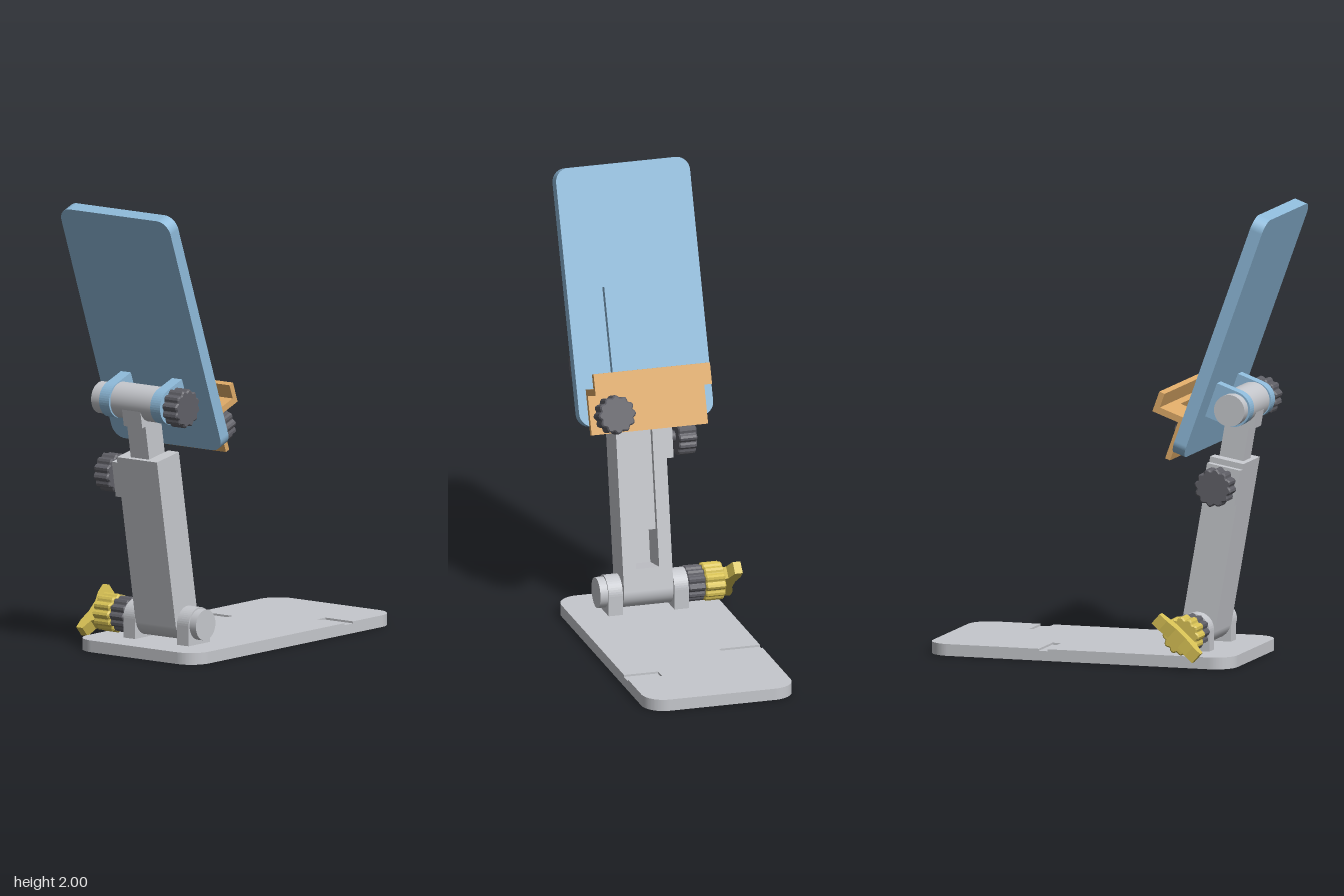
import * as THREE from 'three';

const mat = (name, color) => Object.assign(new THREE.MeshStandardMaterial({ color }), { name });
const grey = mat('light grey', 0xc6c8cd);
const blue = mat('sky blue', 0x8fbbdb);
const orange = mat('orange', 0xdfab68);
const yellow = mat('yellow', 0xd8c255);
const dark = mat('dark grey', 0x606067);

const ZC = 0.0375; // centre plane of the arm

function add(parent, name, geometry, material) {
  const m = new THREE.Mesh(geometry, material);
  m.name = name;
  parent.add(m);
  return m;
}

// box given by its limits
function box(x0, x1, y0, y1, z0, z1) {
  return new THREE.BoxGeometry(x1 - x0, y1 - y0, z1 - z0)
    .translate((x0 + x1) / 2, (y0 + y1) / 2, (z0 + z1) / 2);
}

// cylinder along z
function rod(x, y, r, z0, z1) {
  return new THREE.CylinderGeometry(r, r, z1 - z0, 40).rotateX(Math.PI / 2).translate(x, y, (z0 + z1) / 2);
}

const extrude = (shape, depth) =>
  new THREE.ExtrudeGeometry(shape, { depth, bevelEnabled: false, curveSegments: 12 });
// shape in (x, -z), raised from y0 to y1
const raise = (shape, y0, y1) => extrude(shape, y1 - y0).rotateX(-Math.PI / 2).translate(0, y0, 0);
// shape in (-z, y), spread from x0 to x1
const spread = (shape, x0, x1) => extrude(shape, x1 - x0).rotateY(Math.PI / 2).translate(x0, 0, 0);

const polygon = (pts) => new THREE.Shape(pts.map(([x, y]) => new THREE.Vector2(x, y)));

// rounded rectangle with optional notches [from, to, depth] in its low and high edges
function roundRect(x0, y0, x1, y1, r, low, high) {
  const s = new THREE.Shape();
  s.moveTo(x0 + r, y0);
  if (low) {
    const [a, b, d] = low;
    s.lineTo(a, y0).lineTo(a, y0 + d).lineTo(b, y0 + d).lineTo(b, y0);
  }
  s.lineTo(x1 - r, y0).absarc(x1 - r, y0 + r, r, -Math.PI / 2, 0);
  s.lineTo(x1, y1 - r).absarc(x1 - r, y1 - r, r, 0, Math.PI / 2);
  if (high) {
    const [a, b, d] = high;
    s.lineTo(b, y1).lineTo(b, y1 - d).lineTo(a, y1 - d).lineTo(a, y1);
  }
  s.lineTo(x0 + r, y1).absarc(x0 + r, y1 - r, r, Math.PI / 2, Math.PI);
  s.lineTo(x0, y0 + r).absarc(x0 + r, y0 + r, r, Math.PI, Math.PI * 1.5);
  return s;
}

// fluted grip knob along +z, starting at z = 0
function knobGeometry(depth, r = 0.085) {
  const pts = [];
  const n = 72;
  const bevel = 0.006;
  for (let i = 0; i < n; i++) {
    const a = (i / n) * Math.PI * 2;
    const rad = r - bevel - 0.011 * (0.5 - 0.5 * Math.cos(12 * a));
    pts.push([rad * Math.cos(a), rad * Math.sin(a)]);
  }
  return new THREE.ExtrudeGeometry(polygon(pts), {
    depth: depth - 2 * bevel, bevelEnabled: true, bevelSize: bevel, bevelThickness: bevel, bevelSegments: 1,
  }).translate(0, 0, bevel);
}

// upright lug with a round end, centred on the origin
function lug(r, length, z0, z1) {
  const s = new THREE.Shape();
  s.moveTo(-r, -length).lineTo(r, -length).lineTo(r, 0);
  s.absarc(0, 0, r, 0, Math.PI).lineTo(-r, -length);
  return extrude(s, z1 - z0).translate(0, 0, z0);
}

function buildBase() {
  const g = new THREE.Group();
  g.name = 'base';
  const rect = (low, high) => roundRect(-0.63, -0.375, 0.77, 0.305, 0.1, low, high);
  // underside with four round foot recesses
  const under = rect();
  for (const x of [-0.52, 0.66]) for (const y of [-0.265, 0.195]) {
    under.holes.push(new THREE.Path().absarc(x, y, 0.035, 0, Math.PI * 2, true));
  }
  add(g, 'baseUnderside', raise(under, 0, 0.01), grey);
  add(g, 'basePlate', raise(rect(), 0.01, 0.043), grey);
  // top skin with two shallow grooves
  add(g, 'baseTop', raise(rect([0.41, 0.47, 0.155], [0.21, 0.25, 0.185]), 0.043, 0.052), grey);

  // hinge lugs, end cap and clamp
  const hinge = new THREE.Group();
  hinge.name = 'baseHinge';
  hinge.position.set(-0.405, 0.14, 0);
  g.add(hinge);
  add(hinge, 'frontLug', lug(0.075, 0.09, 0.155, 0.22), grey);
  add(hinge, 'backLug', lug(0.075, 0.09, -0.145, -0.08), grey);
  add(hinge, 'hingeCap', rod(0, 0, 0.068, 0.22, 0.255), grey);
  add(hinge, 'hingePin', rod(0, 0, 0.03, -0.16, 0.23), grey);
  add(hinge, 'clampNut', knobGeometry(0.08, 0.08), dark).position.z = -0.225;
  add(hinge, 'clampGrip', knobGeometry(0.09), yellow).position.z = -0.315;
  // wing handle: bow-tie profile in (length, z)
  const wing = polygon([[-0.07, -0.3], [0.07, -0.3], [0.08, -0.325], [0.125, -0.345], [0.125, -0.38],
    [0.08, -0.38], [0.03, -0.366], [-0.03, -0.366], [-0.08, -0.38], [-0.125, -0.38], [-0.125, -0.345], [-0.08, -0.325]]);
  const wingGeo = extrude(wing, 0.056).translate(0, 0, -0.028).rotateX(Math.PI / 2);
  add(hinge, 'wingHandle', wingGeo, yellow).rotation.z = 0.73;
  return g;
}

function buildArm() {
  const g = new THREE.Group();
  g.name = 'arm';
  g.position.set(-0.405, 0.14, 0);
  g.rotation.z = THREE.MathUtils.degToRad(10);
  const w = 0.0775;
  // lower sleeve: barrel, solid foot, then a channel open towards +x
  add(g, 'lowerBarrel', rod(0, 0, w - 0.003, -0.075, 0.15), grey);
  add(g, 'sleeveFoot', box(-w, w, 0, 0.1, -0.075, 0.15), grey);
  const channel = polygon([[-w, -0.15], [w, -0.15], [w, -0.09], [-0.057, -0.09],
    [-0.057, 0.015], [w, 0.015], [w, 0.075], [-w, 0.075]]);
  add(g, 'sleeve', raise(channel, 0.1, 0.76), grey);
  // sliding upper arm with widened head and barrel
  add(g, 'slider', box(-0.055, 0.055, 0.264, 0.95, -0.014, 0.089), grey);
  add(g, 'sliderHead', box(-w, w, 0.91, 1.0, -0.014, 0.089), grey);
  add(g, 'upperBarrel', rod(0, 1.0, 0.079, -0.075, 0.15), grey);
  // height lock on the back side
  add(g, 'lockBlock', box(-w, w, 0.575, 0.735, -0.106, -0.075), grey);
  add(g, 'lockShaft', rod(0, 0.655, 0.025, -0.14, -0.1), dark);
  add(g, 'lockKnob', knobGeometry(0.082), dark).position.set(0, 0.655, -0.218);
  return g;
}

// origin at the lower front edge of the back plate: x points out of it, y up along it
function buildHolder() {
  const g = new THREE.Group();
  g.name = 'holder';
  g.position.set(-0.34, 0.935, 0);
  g.rotation.z = THREE.MathUtils.degToRad(20);
  // back plate in two layers, the front one slotted
  const plate = (slot) => roundRect(-0.345, 0, 0.265, 1.132, 0.06, slot);
  add(g, 'backPlateRear', spread(plate(), -0.058, -0.03), blue);
  add(g, 'backPlateFront', spread(plate([-0.24, -0.175, 0.6]), -0.03, 0), blue);

  // tilt hinge tabs behind the plate
  const px = -0.165, py = 0.262;
  for (const [name, z] of [['frontTab', 0.153], ['backTab', -0.133]]) {
    const tab = lug(0.079, 0.112, 0, 0.055).rotateZ(Math.PI / 2);
    add(g, name, tab, blue).position.set(px, py, z);
  }
  add(g, 'tiltPin', rod(px, py, 0.03, -0.15, 0.225), grey);
  add(g, 'tiltCap', rod(px, py, 0.07, -0.185, -0.133), grey);
  add(g, 'tiltKnob', knobGeometry(0.082), dark).position.set(px, py, 0.22);

  // sliding support: flange, windowed shelf and lip
  const z0 = -0.225, z1 = 0.305;
  add(g, 'supportFlange', box(0.001, 0.025, -0.038, 0.163, z0, z1), orange);
  const shelf = polygon([[0.025, -z1], [0.15, -z1], [0.15, -z0], [0.025, -z0]]);
  shelf.holes.push(new THREE.Path(
    [[0.026, -0.095], [0.026, 0.028], [0.093, 0.028], [0.093, -0.095]].map(([x, y]) => new THREE.Vector2(x, y))));
  add(g, 'supportShelf', raise(shelf, 0.134, 0.163), orange);
  add(g, 'supportLip', box(0.124, 0.15, 0.163, 0.228, z0, z1), orange);
  const shaft = new THREE.CylinderGeometry(0.025, 0.025, 0.07, 24).rotateZ(Math.PI / 2);
  add(g, 'supportShaft', shaft, dark).position.set(0.01, 0.042, ZC + 0.17);
  add(g, 'supportKnob', knobGeometry(0.092).rotateY(Math.PI / 2), dark).position.set(0.034, 0.042, ZC + 0.17);
  return g;
}

export function createModel() {
  const model = new THREE.Group();
  model.name = 'deviceStand';
  model.add(buildBase(), buildArm(), buildHolder());
  return model;
}
